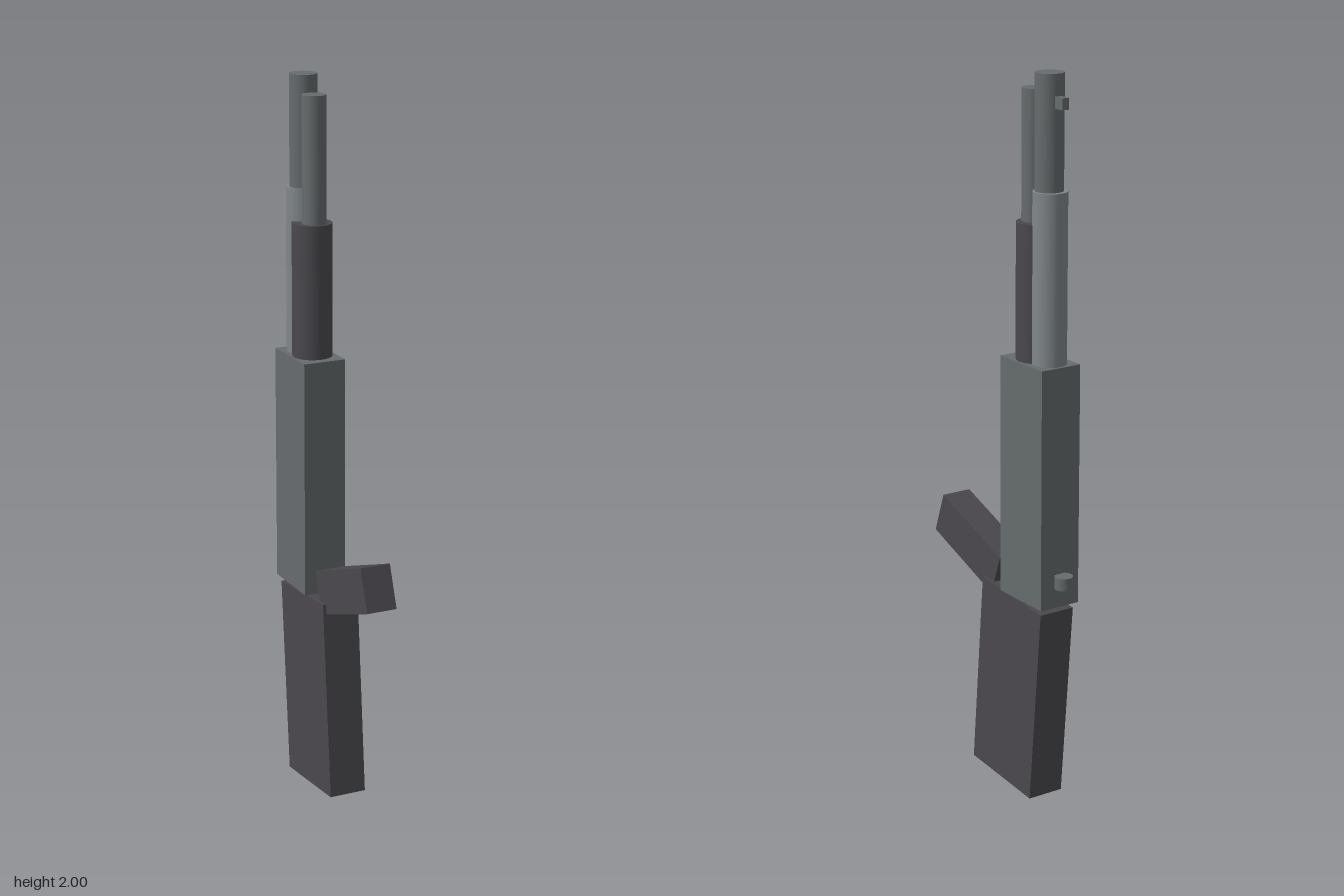
import * as THREE from 'three';

const metal = new THREE.MeshStandardMaterial({ color: 0x666b6d });
const lightMetal = new THREE.MeshStandardMaterial({ color: 0x80868a });
const polymer = new THREE.MeshStandardMaterial({ color: 0x4a484d });

export function createModel() {
  const model = new THREE.Group();

  const add = (name, geometry, material, y, z, tilt = 0) => {
    const mesh = new THREE.Mesh(geometry, material);
    mesh.name = name;
    mesh.position.set(0, y, z);
    mesh.rotation.x = THREE.MathUtils.degToRad(tilt);
    model.add(mesh);
  };
  const box = (name, material, size, y, z, tilt) =>
    add(name, new THREE.BoxGeometry(...size), material, y, z, tilt);
  // upright cylinder between two heights
  const rod = (name, material, radius, y0, y1, z) =>
    add(name, new THREE.CylinderGeometry(radius, radius, y1 - y0, 32), material, (y0 + y1) / 2, z);

  // body
  box('receiver', metal, [0.122, 0.664, 0.19], 0.908, -0.154);

  // tubes rising from the receiver
  rod('barrel', metal, 0.038, 1.24, 2, -0.191);
  rod('barrelShroud', lightMetal, 0.046, 1.24, 1.697, -0.196);
  rod('magazineTube', metal, 0.033, 1.24, 1.953, -0.124);
  rod('pumpHandle', polymer, 0.055, 1.24, 1.608, -0.138);

  // small fittings on the back
  box('frontSight', metal, [0.02, 0.03, 0.045], 1.928, -0.238);
  rod('bolt', metal, 0.025, 0.635, 0.67, -0.268);

  // tilted stock and grip
  box('stock', polymer, [0.106, 0.56, 0.278], 0.291, -0.074, -5);
  box('grip', polymer, [0.087, 0.122, 0.3], 0.65, 0.132, -20);

  return model;
}
